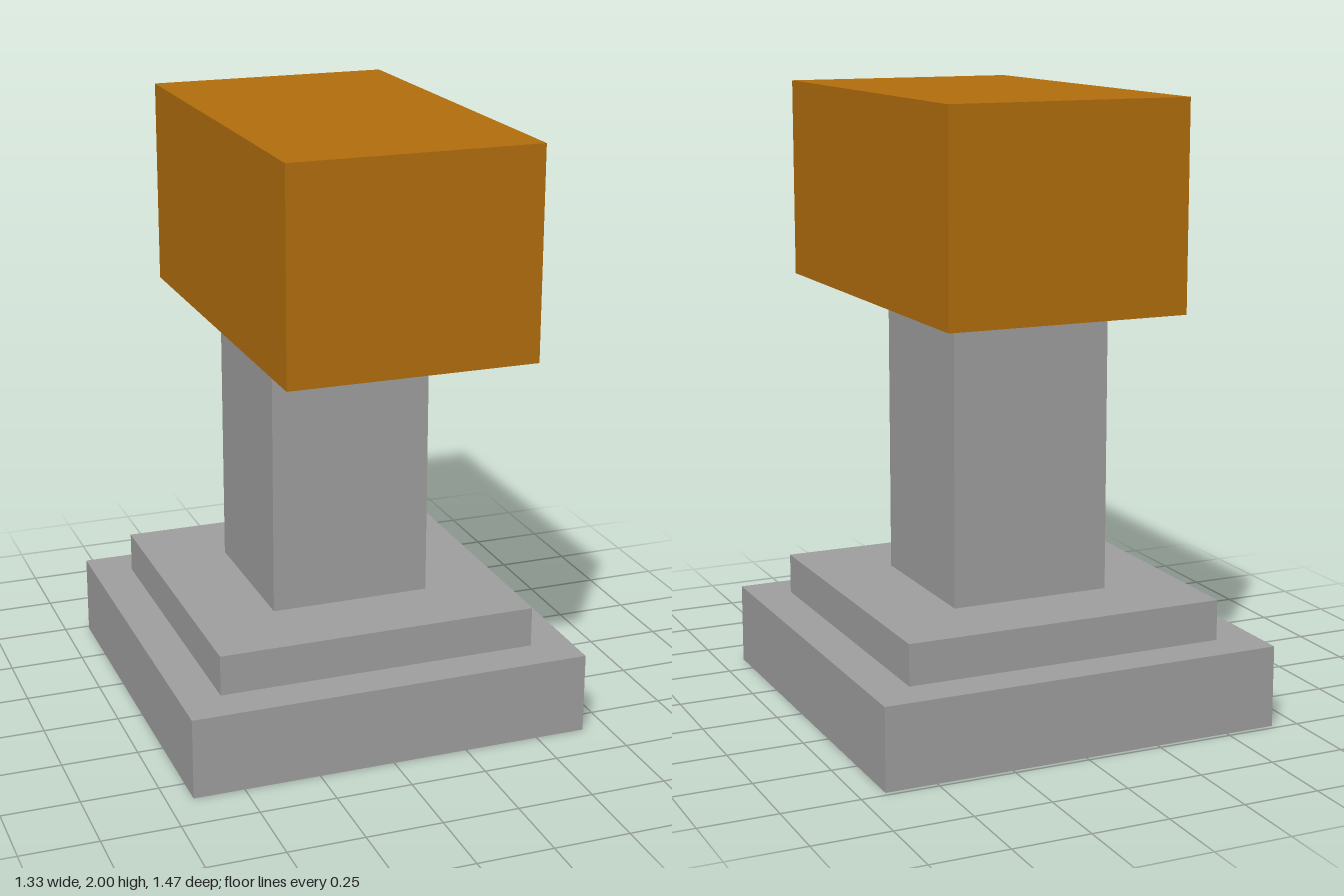
import * as THREE from 'three';

const U = 1 / 15; // modelling unit: every part is a whole number of these

export function createModel() {
  const model = new THREE.Group();
  model.name = 'pedestalWithBlock';

  const stone = new THREE.MeshStandardMaterial({ color: 0xa0a0a0 });
  stone.name = 'stone grey';
  const amber = new THREE.MeshStandardMaterial({ color: 0xb36f0d });
  amber.name = 'amber brown';

  // Box resting at height `bottom`, centred on x, with its middle at `z`
  const addBlock = (name, material, width, height, depth, bottom, z) => {
    const geometry = new THREE.BoxGeometry(width * U, height * U, depth * U);
    const mesh = new THREE.Mesh(geometry, material);
    mesh.name = name;
    mesh.position.set(0, (bottom + height / 2) * U, z * U);
    model.add(mesh);
  };

  // Stepped foot and column, set slightly back
  addBlock('base', stone, 20, 4, 20, 0, -1);
  addBlock('step', stone, 16, 2, 16, 4, -1);
  addBlock('column', stone, 8, 14, 8, 6, -1);

  // Large block on top, overhanging toward the front
  addBlock('head', amber, 12, 10, 20, 20, 1);

  return model;
}
